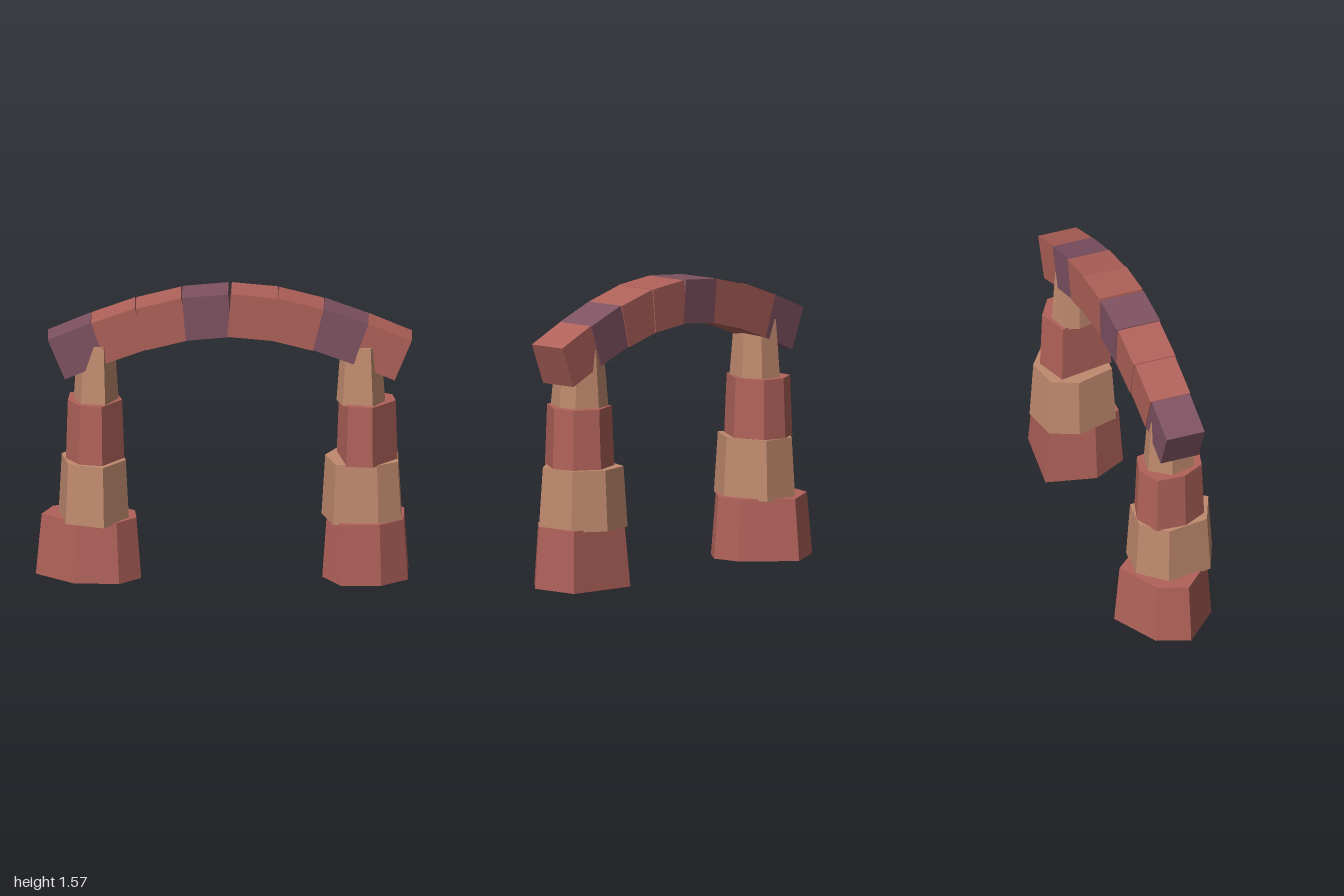
import * as THREE from 'three';

const paint = (color) => new THREE.MeshStandardMaterial({ color, flatShading: true });
const RED = paint(0xb0625a), TAN = paint(0xc08a6e), PURPLE = paint(0x7f5262);

// Tapered stone: an irregular [x, z] outline raised from y0 to y1, its top shrunk to the given scale
function stone(outline, y0, y1, taper) {
  const cx = outline.reduce((s, p) => s + p[0], 0) / outline.length;
  const cz = outline.reduce((s, p) => s + p[1], 0) / outline.length;
  const angle = (p) => Math.atan2(p[1] - cz, p[0] - cx);
  const ring = [...outline].sort((p, q) => angle(p) - angle(q));
  const low = ring.map(([x, z]) => [x, y0, z]);
  const high = ring.map(([x, z]) => [cx + (x - cx) * taper, y1, cz + (z - cz) * taper]);
  const pos = [];
  ring.forEach((_, i) => {
    const j = (i + 1) % ring.length;
    const a = low[i], b = low[j], A = high[i], B = high[j];
    pos.push(...a, ...A, ...b, ...A, ...B, ...b);
    pos.push(...[cx, y1, cz], ...B, ...A, ...[cx, y0, cz], ...a, ...b);
  });
  const g = new THREE.BufferGeometry();
  g.setAttribute('position', new THREE.Float32BufferAttribute(pos, 3));
  g.computeVertexNormals();
  return g;
}

// Shared heights, tapers and colours of the four courses
const COURSES = [
  { y: [0, 0.33], taper: 0.9, mat: RED },
  { y: [0.32, 0.645], taper: 0.91, mat: TAN },
  { y: [0.64, 0.965], taper: 0.93, mat: RED },
  { y: [0.955, 1.275], taper: 0.82, mat: TAN },
];

const RIGHT_PIER = [
  [[-0.44, 0.11], [-0.45, -0.05], [-0.675, -0.285], [-0.935, -0.147], [-1, 0.03], [-0.8, 0.22], [-0.556, 0.235]],
  [[-0.636, 0.285], [-0.84, 0.2], [-0.88, -0.05], [-0.75, -0.19], [-0.55, -0.17], [-0.505, 0.1]],
  [[-0.645, 0.22], [-0.77, 0.19], [-0.84, 0.06], [-0.83, -0.1], [-0.7, -0.165], [-0.57, -0.13], [-0.53, 0.05]],
  [[-0.76, 0.14], [-0.63, 0.17], [-0.56, 0.02], [-0.6, -0.09], [-0.72, -0.11], [-0.8, 0]],
];

const LEFT_PIER = [
  [[0.62, 0.255], [0.52, 0.07], [0.58, -0.2], [0.975, -0.15], [0.975, 0.125], [0.835, 0.255]],
  [[0.515, -0.03], [0.58, 0.2], [0.82, 0.21], [0.94, 0.13], [0.94, -0.1], [0.78, -0.215], [0.58, -0.18]],
  [[0.65, 0.2], [0.79, 0.22], [0.92, 0.05], [0.9, -0.08], [0.77, -0.16], [0.595, -0.1]],
  [[0.595, 0], [0.63, 0.13], [0.79, 0.18], [0.855, 0.06], [0.85, -0.05], [0.73, -0.11], [0.62, -0.08]],
];

function pier(name, outlines) {
  const group = new THREE.Group();
  group.name = name;
  COURSES.forEach(({ y, taper, mat }, i) => {
    const mesh = new THREE.Mesh(stone(outlines[i], y[0], y[1], taper), mat);
    mesh.name = `${name}Stone${i + 1}`;
    group.add(mesh);
  });
  return group;
}

// Arch blocks of one half, crown to end: top edge centre offset and height, tilt, depth
const HALF_ARCH = [
  [0.131, 1.561, 0.09, 0.246],
  [0.379, 1.519, 0.245, 0.236],
  [0.62, 1.449, 0.345, 0.226],
  [0.852, 1.361, 0.395, 0.216],
];
const ARCH_X = 0.03, ARCH_Z = 0.023, LENGTH = 0.246, HEIGHT = 0.235;

function arch() {
  const group = new THREE.Group();
  group.name = 'arch';
  for (const side of [-1, 1]) {
    HALF_ARCH.forEach(([x, y, tilt, depth], i) => {
      const purple = side < 0 ? i % 3 === 0 : i === 2;
      const g = new THREE.BoxGeometry(LENGTH, HEIGHT, depth).translate(0, -HEIGHT / 2, 0);
      const block = new THREE.Mesh(g, purple ? PURPLE : RED);
      block.name = `${side < 0 ? 'right' : 'left'}ArchBlock${i + 1}`;
      block.position.set(ARCH_X + side * x, y, ARCH_Z);
      block.rotation.z = -side * tilt;
      group.add(block);
    });
  }
  return group;
}

export function createModel() {
  const model = new THREE.Group();
  model.name = 'stoneArch';
  model.add(pier('rightPier', RIGHT_PIER), pier('leftPier', LEFT_PIER), arch());
  return model;
}
